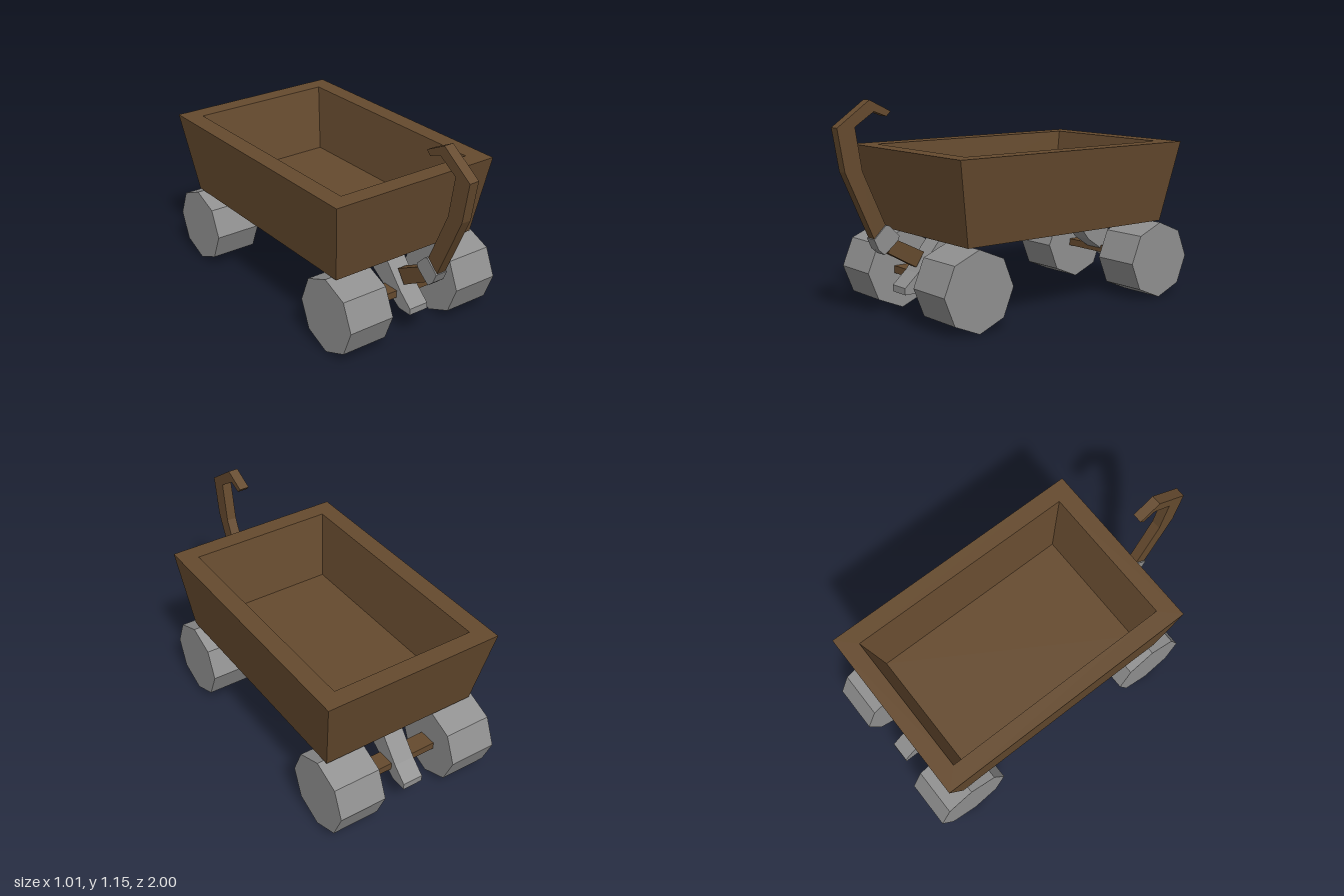
import * as THREE from 'three';

// Flat-sided part: a (z, y) outline given width across x
function slab(name, points, width, material) {
  const shape = new THREE.Shape(points.map(([z, y]) => new THREE.Vector2(z, y)));
  const geometry = new THREE.ExtrudeGeometry(shape, { depth: width, bevelEnabled: false });
  geometry.translate(0, 0, -width / 2);
  geometry.rotateY(-Math.PI / 2);
  const mesh = new THREE.Mesh(geometry, material);
  mesh.name = name;
  return mesh;
}

// Open tub skin from four rectangular rings: outer foot, outer rim, inner rim, floor
function tubGeometry() {
  const ring = (hx, y, front, back) => [[-hx, y, front], [hx, y, front], [hx, y, back], [-hx, y, back]];
  const rings = [
    ring(0.447, 0.435, 0.525, -0.815),
    ring(0.505, 0.88, 0.61, -0.91),
    ring(0.405, 0.88, 0.51, -0.81),
    ring(0.355, 0.52, 0.43, -0.73),
  ];
  const positions = [];
  const quad = (a, b, c, d) => positions.push(...a, ...b, ...c, ...a, ...c, ...d);
  for (let r = 0; r < 3; r++) {
    for (let i = 0; i < 4; i++) {
      const j = (i + 1) % 4;
      quad(rings[r][i], rings[r][j], rings[r + 1][j], rings[r + 1][i]);
    }
  }
  quad(...rings[3]);
  const geometry = new THREE.BufferGeometry();
  geometry.setAttribute('position', new THREE.Float32BufferAttribute(positions, 3));
  geometry.computeVertexNormals();
  return geometry;
}

export function createModel() {
  const wood = new THREE.MeshStandardMaterial({ color: 0x654a2e, side: THREE.DoubleSide });
  wood.name = 'brown wood';
  const metal = new THREE.MeshStandardMaterial({ color: 0x8f8f8f, flatShading: true });
  metal.name = 'grey metal';

  const wagon = new THREE.Group();
  wagon.name = 'wagon';

  const tub = new THREE.Mesh(tubGeometry(), wood);
  tub.name = 'tub';
  wagon.add(tub);

  // Wheels, axle and bent bracket at each end, the rear set mirrored
  const wheelGeometry = new THREE.CylinderGeometry(0.213, 0.213, 0.266, 8);
  wheelGeometry.rotateZ(Math.PI / 2);
  const bracket = [[-0.27, 0.436], [-0.15, 0.29], [0.07, 0.145], [0.16, 0.145], [0.16, 0.18], [0.08, 0.25], [-0.08, 0.436]];
  for (const [label, z, dir] of [['front', 0.48, 1], ['rear', -0.785, -1]]) {
    for (const side of [-1, 1]) {
      const wheel = new THREE.Mesh(wheelGeometry, metal);
      wheel.name = label + (side > 0 ? 'LeftWheel' : 'RightWheel');
      wheel.position.set(side * 0.348, 0.217, z);
      wagon.add(wheel);
    }
    const axle = new THREE.Mesh(new THREE.BoxGeometry(0.44, 0.04, 0.1), wood);
    axle.name = label + 'Axle';
    axle.position.set(0, 0.22, z);
    wagon.add(axle);
    wagon.add(slab(label + 'Bracket', bracket.map(([u, y]) => [z + dir * u, y]), 0.116, metal));
  }

  // Tongue, hitch joint and hooked pull handle
  wagon.add(slab('tongue', [[0.55, 0.275], [0.72, 0.37], [0.68, 0.44], [0.5, 0.35]], 0.056, wood));
  wagon.add(slab('hitch', [[0.745, 0.365], [0.78, 0.395], [0.805, 0.45], [0.735, 0.517],
    [0.715, 0.512], [0.655, 0.455], [0.665, 0.43]], 0.072, metal));
  wagon.add(slab('handle', [[0.8, 0.45], [0.96, 0.8], [1, 1.02], [0.815, 1.15], [0.693, 1.09],
    [0.718, 1.065], [0.79, 1.092], [0.9, 1.02], [0.862, 0.8], [0.725, 0.5]], 0.056, wood));

  return wagon;
}
